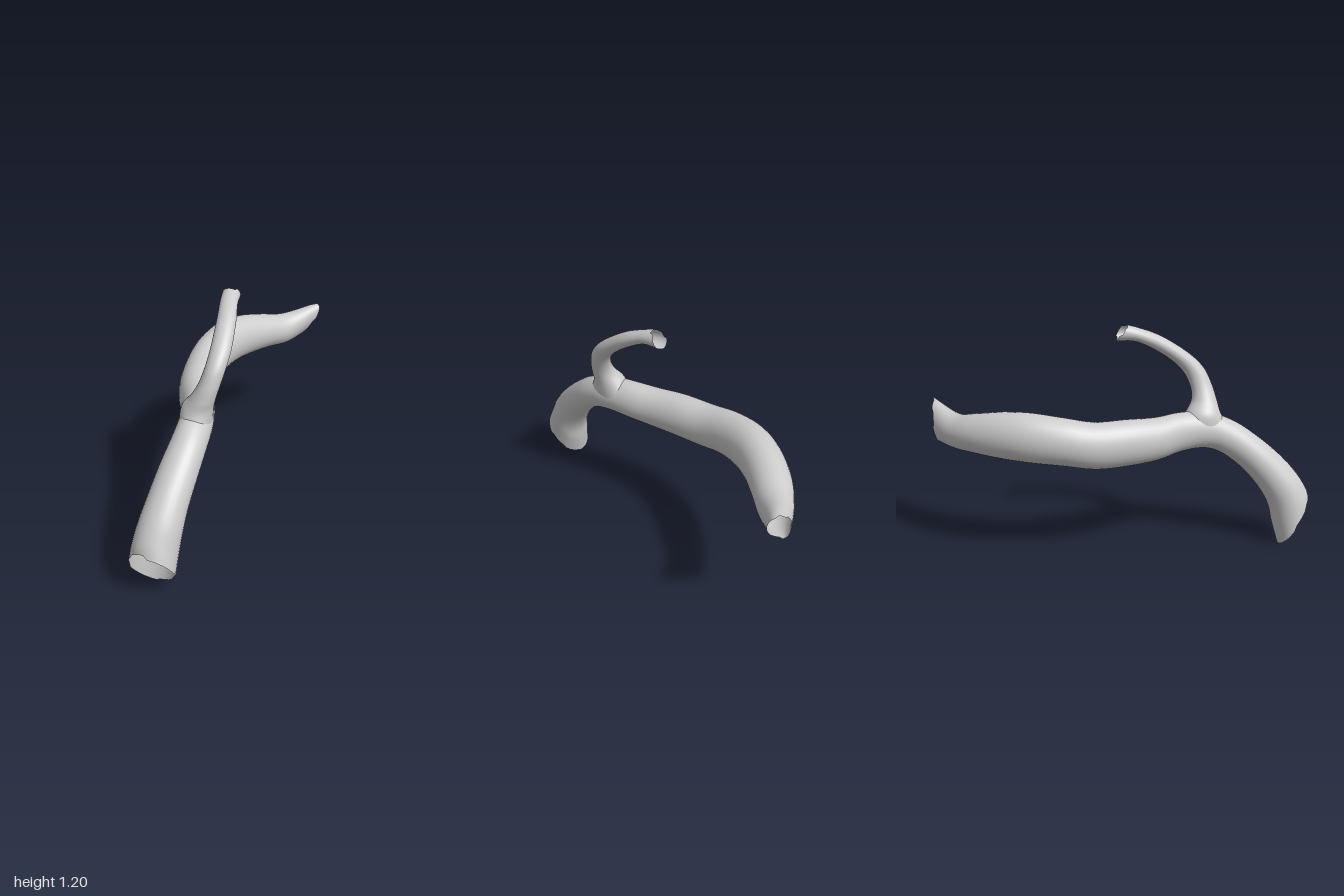
import * as THREE from 'three';

const material = new THREE.MeshStandardMaterial({ color: 0xcccccc, side: THREE.DoubleSide });

// Each section: outer point xyz, inner (opposite) point xyz, sideways half width x, z.
const trunkSections = [
  [-0.09, 0.25, 1.0, -0.12, 0.0, 0.83, 0.118, 0.01],
  [-0.09, 0.31, 0.975, -0.105, 0.11, 0.8, 0.113, 0],
  [-0.08, 0.4, 0.915, -0.09, 0.215, 0.775, 0.108, 0],
  [-0.065, 0.5, 0.82, -0.075, 0.32, 0.715, 0.1, 0],
  [-0.05, 0.6, 0.7, -0.055, 0.43, 0.62, 0.095, 0],
  [-0.038, 0.68, 0.58, -0.04, 0.515, 0.505, 0.088, 0],
  [-0.04, 0.735, 0.44, -0.045, 0.545, 0.4, 0.083, -0.015],
  [-0.075, 0.748, 0.29, -0.075, 0.537, 0.27, 0.08, -0.025],
  [-0.125, 0.742, 0.15, -0.125, 0.518, 0.15, 0.087, -0.026],
  [-0.165, 0.75, 0, -0.165, 0.51, 0, 0.095, -0.022],
  [-0.193, 0.752, -0.17, -0.193, 0.51, -0.17, 0.1, -0.008],
  [-0.19, 0.78, -0.33, -0.19, 0.535, -0.33, 0.103, 0.015],
  [-0.153, 0.8, -0.49, -0.153, 0.547, -0.49, 0.1, 0.04],
  [-0.087, 0.792, -0.63, -0.087, 0.552, -0.63, 0.093, 0.052],
  [0.005, 0.762, -0.76, 0.005, 0.555, -0.76, 0.083, 0.058],
  [0.115, 0.735, -0.875, 0.1, 0.552, -0.865, 0.066, 0.052],
  [0.285, 0.775, -0.995, 0.17, 0.57, -0.965, 0.052, 0.024],
];

const branchSections = [
  [-0.035, 0.63, 0.56, -0.05, 0.66, 0.26, 0.08, 0],
  [-0.03, 0.725, 0.508, -0.035, 0.745, 0.325, 0.079, 0],
  [-0.002, 0.79, 0.491, -0.002, 0.8, 0.357, 0.063, 0],
  [0.027, 0.865, 0.47, 0.027, 0.86, 0.354, 0.053, 0],
  [0.048, 0.95, 0.43, 0.048, 0.925, 0.325, 0.05, 0],
  [0.055, 1.03, 0.35, 0.055, 0.985, 0.27, 0.05, 0],
  [0.045, 1.125, 0.205, 0.045, 1.055, 0.17, 0.048, 0],
  [0.025, 1.177, 0.08, 0.025, 1.108, 0.06, 0.045, 0],
  [0.012, 1.2, 0.0, 0.016, 1.115, -0.045, 0.045, 0],
];

// Lofts a smooth open tube through the sections. trimStart and trimEnd
// shift the rims along the tube, point by point, to make them ragged.
function vessel(name, sections, rings, sides, trimStart, trimEnd) {
  const curve = (pick) => new THREE.CatmullRomCurve3(
    sections.map((s) => new THREE.Vector3(...pick(s))), false, 'catmullrom');
  const outer = curve((s) => s.slice(0, 3));
  const inner = curve((s) => s.slice(3, 6));
  const sideways = curve((s) => [s[6], 0, s[7]]);
  const positions = [];
  const index = [];
  for (let i = 0; i <= rings; i++) {
    for (let j = 0; j < sides; j++) {
      const t = THREE.MathUtils.lerp(trimStart(j), 1 - trimEnd(j), i / rings);
      const angle = (j / sides) * Math.PI * 2;
      const a = outer.getPoint(t);
      const b = inner.getPoint(t);
      const p = a.clone().add(b).multiplyScalar(0.5)
        .addScaledVector(a.sub(b), 0.5 * Math.cos(angle))
        .addScaledVector(sideways.getPoint(t), Math.sin(angle));
      positions.push(p.x, p.y, p.z);
      if (i === rings) continue;
      const k = i * sides + j;
      const next = i * sides + ((j + 1) % sides);
      index.push(k, next, k + sides, next, next + sides, k + sides);
    }
  }
  const geometry = new THREE.BufferGeometry();
  geometry.setAttribute('position', new THREE.Float32BufferAttribute(positions, 3));
  geometry.setIndex(index);
  geometry.computeVertexNormals();
  const mesh = new THREE.Mesh(geometry, material);
  mesh.name = name;
  return mesh;
}

export function createModel() {
  const group = new THREE.Group();
  group.name = 'forkedVessel';

  // Main tube: rises from the ragged front opening, then sweeps to the back
  const startNotches = [0, 0, 0.012, 0.004, 0, 0, 0.01, 0.02];
  const endNotches = [0, 0, 0.006, 0.01, 0, 0.004, 0.012, 0.006];
  group.add(vessel('mainTube', trunkSections, 96, 32,
    (j) => startNotches[Math.floor(j / 4)],
    (j) => endNotches[Math.floor(j / 4)]));

  // Thin tube: flares out of the main tube and curls up and back
  const branchNotches = [0.03, 0, 0, 0.012, 0, 0, 0.02, 0.03];
  group.add(vessel('sideBranch', branchSections, 56, 32,
    () => 0,
    (j) => branchNotches[Math.floor(j / 4)]));

  return group;
}
